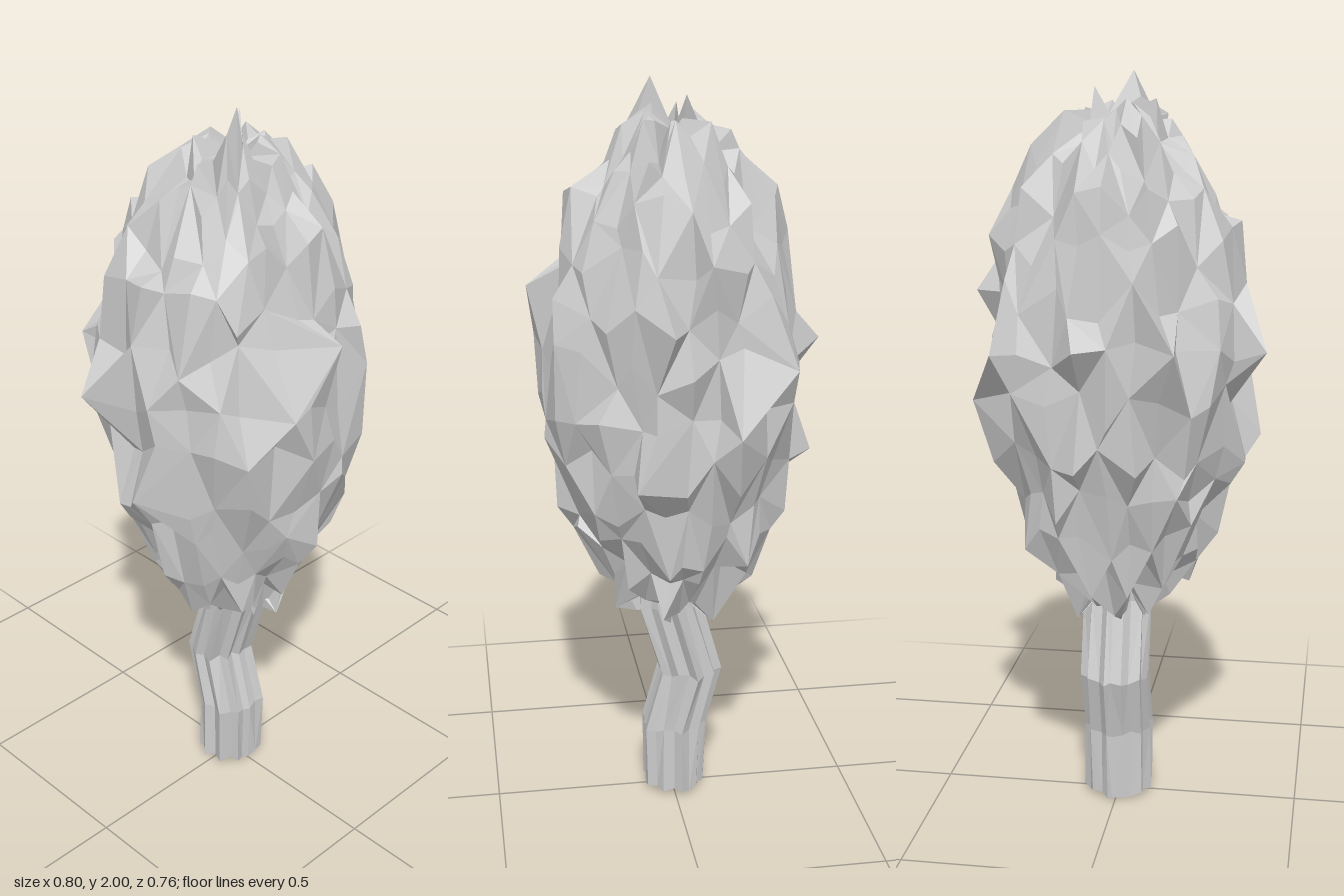
import * as THREE from 'three';

const material = new THREE.MeshStandardMaterial({ color: 0xcccccc, flatShading: true, side: THREE.DoubleSide });

// Small seeded generator returning values in -1..1
function seeded(seed) {
  let s = seed;
  return () => {
    s = (s * 16807) % 2147483647;
    return (s / 2147483647) * 2 - 1;
  };
}

// Faceted skin over rings listed from bottom to top, closed by two end points
function skin(name, rings, bottom, top) {
  const n = rings[0].length, last = (rings.length - 1) * n;
  const low = rings.length * n, high = low + 1;
  const faces = [];
  for (let i = 0; i < n; i++) {
    const next = (i + 1) % n;
    faces.push(low, next, i, high, last + i, last + next);
    for (let j = 0; j < last; j += n) {
      const a = j + i, b = j + next, c = b + n, d = a + n;
      // Vary the diagonal so the facets do not spiral
      if ((i + j / n) % 2) faces.push(a, b, c, a, c, d);
      else faces.push(a, b, d, b, c, d);
    }
  }
  const indexed = new THREE.BufferGeometry().setFromPoints([...rings.flat(), bottom, top]);
  indexed.setIndex(faces);
  const geometry = indexed.toNonIndexed();
  geometry.computeVertexNormals();
  const mesh = new THREE.Mesh(geometry, material);
  mesh.name = name;
  return mesh;
}

// Crooked trunk: irregularly fluted rings stacked along a bent centre line
function makeTrunk() {
  const rand = seeded(71);
  const sides = 22;
  const flutes = Array.from({ length: sides }, (_, i) => ({
    r: 0.084 + (i % 2 ? -0.005 : 0.005) + rand() * 0.009,
    a: (i / sides) * Math.PI * 2 + rand() * 0.09,
  }));
  const levels = [[0.01, -0.003], [0.2, -0.003], [0.37, -0.047], [0.58, 0.012], [0.75, 0.012]]; // y, z
  const rings = levels.map(([y, z]) => flutes.map(({ r, a }) => {
    const radius = r + rand() * 0.005;
    return new THREE.Vector3(Math.sin(a) * radius, y + rand() * 0.008, z + Math.cos(a) * radius);
  }));
  return skin('trunk', rings, new THREE.Vector3(0, 0, 0), new THREE.Vector3(0, 0.78, 0.012));
}

// Leaf tips that stand out from the crown
const tips = [
  [-0.03, 2, 0.05], [0.06, 1.96, -0.03], [0.13, 1.9, -0.08], [-0.12, 1.89, 0.06],
  [0.4, 1.42, 0.05], [-0.4, 1.3, -0.13], [-0.38, 1.05, 0.03], [0.375, 1.15, -0.12],
  [0.36, 1.02, 0.14], [0.34, 1.58, -0.05], [-0.32, 1.62, 0.02], [0.29, 1.3, -0.28],
  [0, 1.48, 0.38], [-0.12, 1.3, 0.345], [-0.19, 1.33, -0.375], [0.06, 1.33, -0.385],
  [0.06, 1.02, -0.37], [0.1, 0.545, -0.1], [-0.19, 0.62, 0.04], [0.19, 0.6, 0.05],
  [0.02, 0.57, 0.16], [-0.27, 0.77, 0.02], [-0.1, 0.58, -0.14],
].map((tip) => new THREE.Vector3(...tip));

// Ragged crown: a tall ellipsoid of jittered rings
function makeCrown() {
  const rand = seeded(2029);
  const around = 28, rows = 15;
  const rings = [];
  for (let j = 1; j < rows; j++) {
    const polar = (j / rows) * Math.PI;
    rings.push(Array.from({ length: around }, (_, i) => {
      const a = ((i + rand() * 0.3) / around) * Math.PI * 2;
      const r = 0.338 * Math.sin(polar) + rand() * 0.035;
      return new THREE.Vector3(Math.sin(a) * r, 1.24 - 0.67 * Math.cos(polar) + rand() * 0.055, Math.cos(a) * r);
    }));
  }
  // Pull the nearest point out to each leaf tip
  for (const tip of tips) {
    rings.flat().reduce((a, b) => (b.distanceTo(tip) < a.distanceTo(tip) ? b : a)).copy(tip);
  }
  return skin('crown', rings, new THREE.Vector3(0, 0.6, 0), new THREE.Vector3(0.04, 1.87, 0));
}

export function createModel() {
  const tree = new THREE.Group();
  tree.name = 'tree';
  tree.add(makeTrunk(), makeCrown());
  return tree;
}
